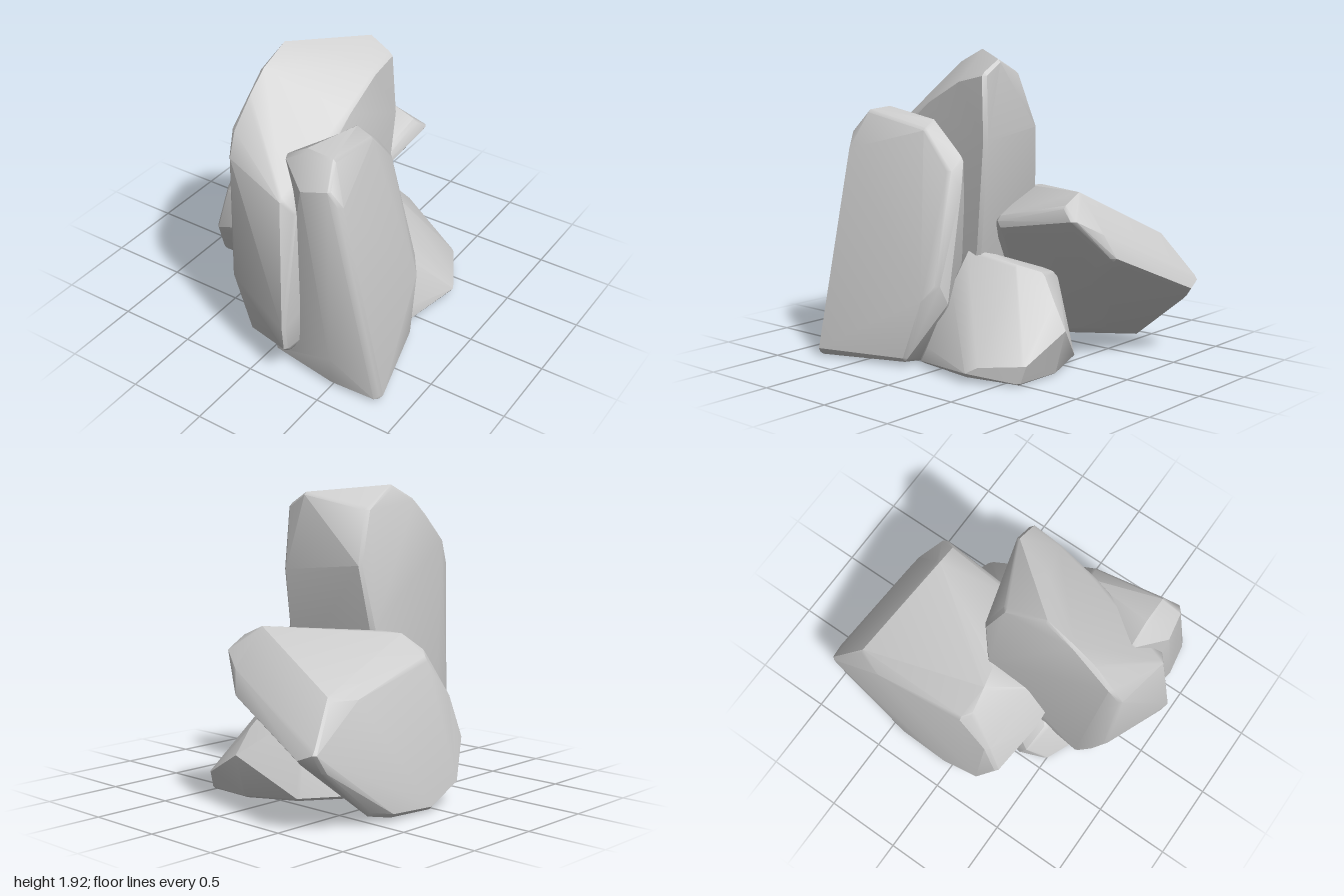
import * as THREE from 'three';
import { ConvexGeometry } from 'three/addons/geometries/ConvexGeometry.js';
import { toCreasedNormals } from 'three/addons/utils/BufferGeometryUtils.js';

const material = new THREE.MeshStandardMaterial({ color: 0xcccccc });

// A boulder: convex hull of its corners, each corner worn down to a small chamfer.
function boulder(name, corners, wear) {
  const points = corners.map(c => new THREE.Vector3(...c));
  const centre = new THREE.Box3().setFromPoints(points).getCenter(new THREE.Vector3());
  const chamfered = [];
  points.forEach((p, i) => {
    const inner = p.clone().addScaledVector(p.clone().sub(centre).normalize(), -wear);
    for (const axis of ['x', 'y', 'z']) {
      for (const sign of [-1, 1]) {
        const q = inner.clone();
        q[axis] += sign * wear * (0.8 + 0.2 * Math.sin(i * 2.4 + sign));
        q.y = Math.max(q.y, 0);
        chamfered.push(q);
      }
    }
  });
  const mesh = new THREE.Mesh(toCreasedNormals(new ConvexGeometry(chamfered), 0.5), material);
  mesh.name = name;
  return mesh;
}

export function createModel() {
  const group = new THREE.Group();
  group.name = 'rockCluster';

  // Tall pillar with a sloping front shoulder and a bulging foot
  group.add(boulder('tallPillar', [
    [-0.19, 1.92, 0.3], [-0.22, 1.79, 0.04], [0.15, 1.88, -0.13], [0.28, 1.8, -0.13],
    [0.29, 1.76, 0.06], [0.28, 1.62, 0.33], [0.05, 1.86, 0.15], [-0.2, 1.84, 0.5], [-0.2, 1.72, 0.64],
    [-0.21, 1.57, 0.78], [-0.2, 1.42, 0.85], [0.2, 1.28, 0.9], [0.27, 1.2, 0.87], [0.27, 1.5, 0.5],
    [-0.33, 1.05, -0.03], [-0.27, 1.45, -0.08], [0.3, 1.4, -0.16], [0.29, 0.7, -0.09], [-0.3, 0.5, 0.05],
    [-0.22, 0.9, 0.83], [-0.23, 0.5, 0.83], [-0.28, 0.12, 0.65],
    [0.26, 0.42, 1.0], [0.25, 0.24, 0.97], [0.2, 0.15, 0.88], [0.03, 0.07, 0.79], [-0.2, 0.02, 0.7],
    [0.24, 0.12, 0.1], [-0.2, 0.1, 0.1],
  ], 0.025));

  // Leaning slab beside the pillar
  group.add(boulder('leaningSlab', [
    [0.11, 1.47, 0.72], [0.25, 1.56, 0.72], [0.43, 1.55, 0.72], [0.3, 1.38, 0.85], [0.47, 1.42, 0.83],
    [0.53, 1.32, 0.8], [0.3, 1.5, 0.27], [0.39, 1.46, 0.26], [0.3, 1.28, 0.03], [0.4, 1.22, 0.05],
    [0.36, 1.1, -0.01], [0.56, 0.5, 0.0], [0.5, 0.38, -0.01], [0.62, 0.4, 0.07],
    [0.7, 0.56, 0.8], [0.83, 0.03, 0.8], [0.8, 0.0, 0.81], [0.51, 0.22, 0.88], [0.5, 0.0, 0.83],
    [0.05, 0.03, 0.78], [0.05, 0.0, 0.3], [0.5, 0.0, 0.2], [0.66, 0.03, 0.2], [0.1, 0.9, 0.7], [0.15, 0.8, 0.1],
  ], 0.025));

  // Broad tilted block at the back, resting on one lower edge
  group.add(boulder('tiltedBlock', [
    [-0.72, 0.9, 0.05], [-0.74, 0.75, -0.62], [-0.66, 0.94, 0.1], [-0.5, 1.02, 0.08], [-0.36, 1.04, 0.05],
    [-0.69, 0.75, -0.8], [0.02, 1.09, -0.65], [0.17, 1.03, -0.66], [0.16, 0.9, -0.12], [0.2, 0.96, -0.74],
    [0.04, 0.87, -0.84], [-0.02, 0.72, -0.89], [0.18, 0.86, -0.15],
    [-0.78, 0.48, -1.0], [-0.68, 0.44, -1.01], [-0.78, 0.36, -0.92],
    [-0.05, 0.6, -0.7], [-0.3, 0.38, -0.68], [-0.5, 0.13, -0.5],
    [-0.78, 0.06, -0.55], [-0.83, 0.03, -0.4], [-0.84, 0.01, -0.05], [-0.81, 0.12, 0.22],
    [-0.76, 0.38, 0.34], [-0.73, 0.65, 0.25],
    [-0.4, 0.55, 0.41], [-0.28, 0.62, 0.4], [-0.3, 0.4, 0.35], [-0.3, 0.88, 0.28],
    [-0.6, 0.02, 0.1], [-0.46, 0.03, 0.12],
  ], 0.03));

  // Low flat-bottomed rock that the others lean on
  group.add(boulder('baseRock', [
    [0.52, 0.0, -0.6], [0.2, 0.0, -0.61], [-0.15, 0.02, -0.5], [-0.42, 0.02, -0.1], [-0.5, 0.08, 0.35],
    [-0.43, 0.01, 0.5], [-0.2, 0.0, 0.6], [0.3, 0.0, 0.4], [0.58, 0.02, 0.14], [0.69, 0.05, -0.33],
    [0.65, 0.09, -0.4], [0.51, 0.11, -0.63], [0.2, 0.28, -0.69], [0.18, 0.42, -0.61], [0.13, 0.59, -0.47],
    [0.22, 0.64, -0.34], [-0.1, 0.55, -0.4], [0.3, 0.71, 0.0], [0.2, 0.68, -0.15], [0.42, 0.5, 0.03],
    [0.6, 0.12, 0.08], [-0.34, 0.33, 0.43], [-0.49, 0.22, 0.4], [-0.1, 0.4, 0.4],
  ], 0.025));

  return group;
}
